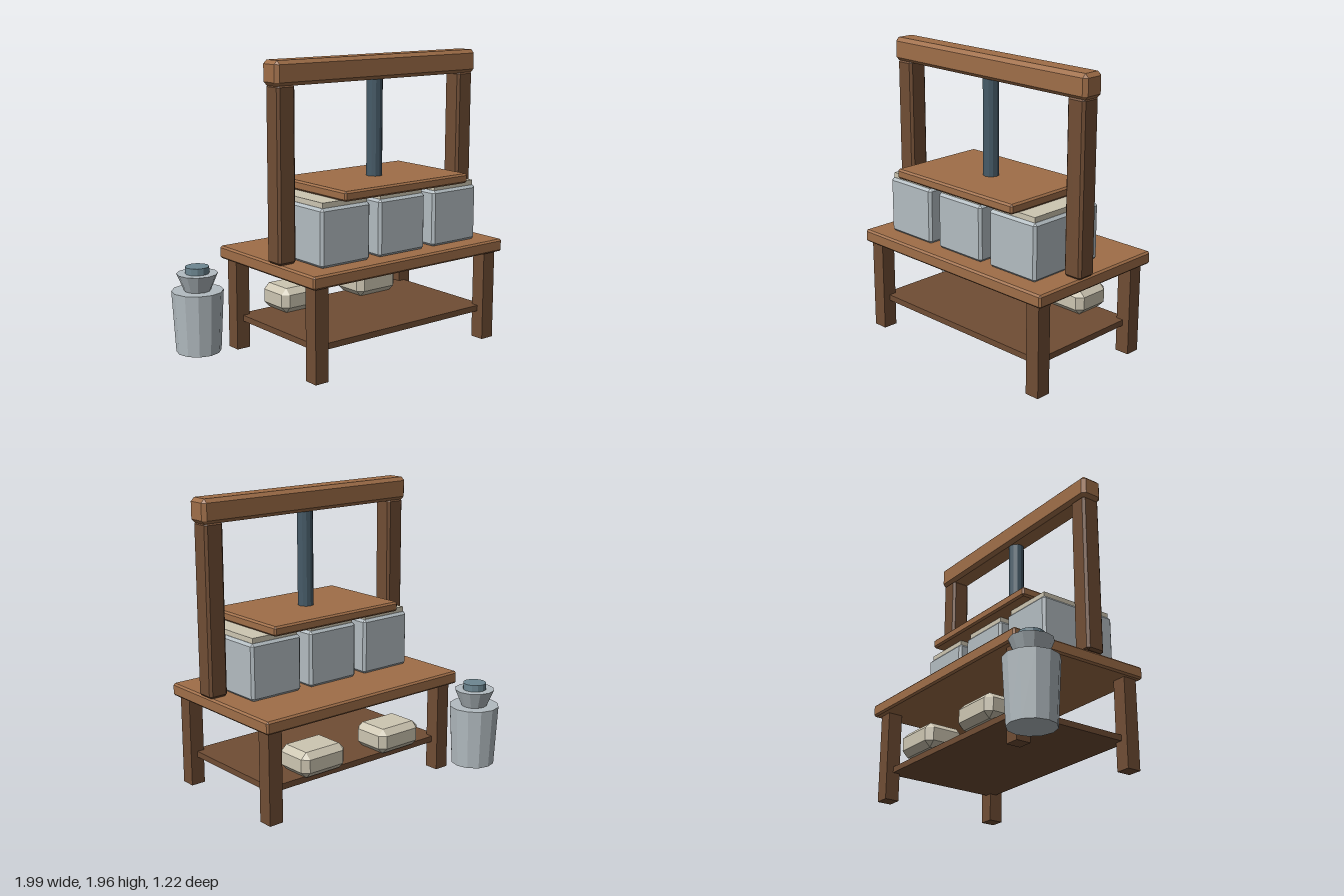
import * as THREE from 'three';
import { ConvexGeometry } from 'three/addons/geometries/ConvexGeometry.js';

function material(name, color) {
  const m = new THREE.MeshStandardMaterial({ color, flatShading: true });
  m.name = name;
  return m;
}

// Box with every edge cut by a flat chamfer c
function chamferBox(w, h, d, c) {
  const pts = [];
  for (const sx of [-1, 1]) for (const sy of [-1, 1]) for (const sz of [-1, 1]) {
    const x = w / 2, y = h / 2, z = d / 2;
    pts.push(
      new THREE.Vector3(sx * x, sy * (y - c), sz * (z - c)),
      new THREE.Vector3(sx * (x - c), sy * y, sz * (z - c)),
      new THREE.Vector3(sx * (x - c), sy * (y - c), sz * z));
  }
  return new ConvexGeometry(pts);
}

export function createModel() {
  const model = new THREE.Group();
  model.name = 'cheesePress';

  const wood = material('warm wood', 0x9f6e48);
  const darkWood = material('dark wood', 0x704d34);
  const tin = material('pale metal', 0xb3bcc1);
  const cream = material('cream', 0xcdc6b2);
  const iron = material('dark iron', 0x455a67);
  const steel = material('blue steel', 0x6d8691);

  const add = (name, geometry, mat, x, y, z) => {
    const mesh = new THREE.Mesh(geometry, mat);
    mesh.name = name;
    mesh.position.set(x, y, z);
    model.add(mesh);
  };

  // Box given by its extents, chamfered when c > 0
  const box = (name, mat, [x0, x1], [y0, y1], [z0, z1], c = 0) => {
    const size = [x1 - x0, y1 - y0, z1 - z0];
    const geometry = c ? chamferBox(...size, c) : new THREE.BoxGeometry(...size);
    add(name, geometry, mat, (x0 + x1) / 2, (y0 + y1) / 2, (z0 + z1) / 2);
  };

  // Upright round part from y0 to y1
  const round = (name, mat, x, z, r0, r1, y0, y1) =>
    add(name, new THREE.CylinderGeometry(r1, r0, y1 - y0, 12), mat, x, (y0 + y1) / 2, z);

  // Table
  box('tableTop', wood, [-0.65, 0.965], [0.61, 0.695], [-0.435, 0.602], 0.012);
  for (const x of [-0.565, 0.875]) for (const z of [-0.34, 0.52])
    box('tableLeg', darkWood, [x - 0.05, x + 0.05], [0, 0.615], [z - 0.05, z + 0.05]);
  box('shelf', darkWood, [-0.565, 0.875], [0.19, 0.23], [-0.34, 0.52]);

  // Press frame
  for (const x of [-0.597, 0.912])
    box('framePost', darkWood, [x - 0.067, x + 0.067], [0.695, 1.815], [0.135, 0.27], 0.016);
  box('crossBeam', wood, [-0.682, 0.997], [1.805, 1.962], [0.123, 0.281], 0.024);
  round('pressScrew', iron, 0.155, 0.202, 0.053, 0.053, 1.16, 1.82);
  box('pressPlate', wood, [-0.365, 0.676], [1.108, 1.172], [-0.143, 0.547], 0.012);

  // Moulds with their contents showing on top
  for (const x of [-0.309, 0.155, 0.619]) {
    box('mould', tin, [x - 0.195, x + 0.195], [0.698, 1.072], [-0.086, 0.49], 0.017);
    box('mouldFilling', cream, [x - 0.175, x + 0.175], [1.06, 1.106], [-0.066, 0.472]);
  }

  // Wrapped blocks on the shelf
  for (const x of [-0.17, 0.48])
    box('wrappedBlock', cream, [x - 0.174, x + 0.174], [0.23, 0.398], [-0.4, -0.12], 0.04);

  // Milk can
  const cx = -0.824, cz = -0.441;
  round('canBody', tin, cx, cz, 0.15, 0.173, 0, 0.418);
  round('canNeck', tin, cx, cz, 0.088, 0.137, 0.418, 0.534);
  round('canLid', steel, cx, cz, 0.08, 0.08, 0.53, 0.58);

  return model;
}
